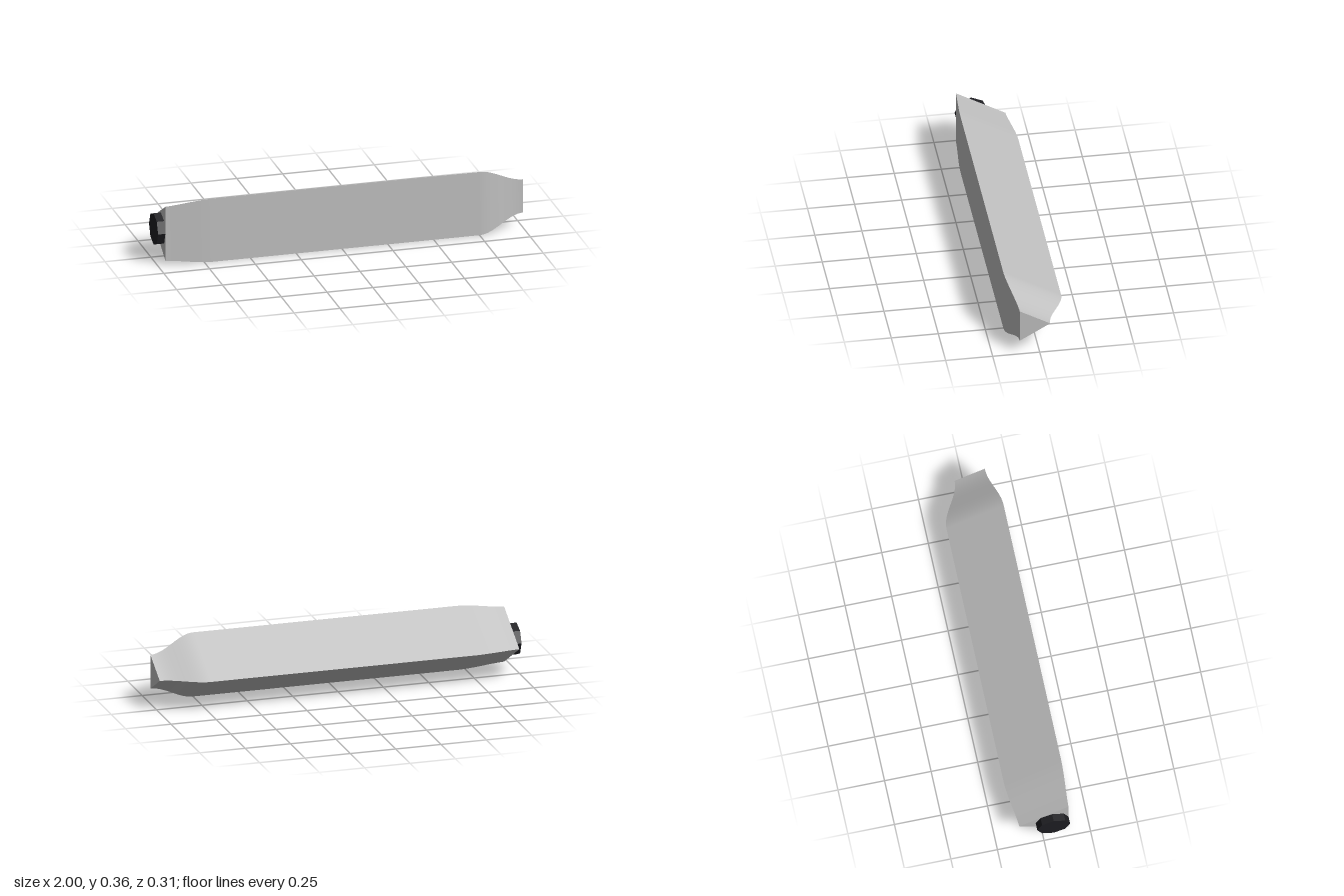
import * as THREE from 'three';

const CY = 0.18, CZ = 0.052; // long axis of the tube

// Circumradius of the triangular section along x
function radiusAt(x) {
  const { smoothstep, lerp } = THREE.MathUtils;
  return x < 0
    ? lerp(0.174, 0.205, smoothstep(x, -1.0, -0.7))
    : lerp(0.205, 0.108, smoothstep(x, 0.75, 1));
}

// Section corners: top front, bottom front, back
function corner(x, i) {
  const a = Math.PI / 3 - (i % 3) * Math.PI * 2 / 3;
  const r = radiusAt(x);
  return [x, CY + Math.sin(a) * r, CZ + Math.cos(a) * r];
}

function makeGeometry(positions, index) {
  const g = new THREE.BufferGeometry();
  g.setAttribute('position', new THREE.Float32BufferAttribute(positions, 3));
  g.setIndex(index);
  g.computeVertexNormals();
  return g;
}

export function createModel() {
  const model = new THREE.Group();
  const shell = new THREE.MeshStandardMaterial({ color: 0xc0c0c0 });
  shell.name = 'light grey';
  const dark = new THREE.MeshStandardMaterial({ color: 0x1e1e22 });
  dark.name = 'near black';

  const add = (name, geometry, material, parent) => {
    const mesh = new THREE.Mesh(geometry, material);
    mesh.name = name;
    parent.add(mesh);
    return mesh;
  };

  const body = new THREE.Group();
  body.name = 'body';
  model.add(body);

  // Stations along the tube, dense only where it tapers
  const xs = [];
  for (let i = 0; i <= 12; i++) xs.push(-0.96 + 0.26 * i / 12);
  for (let i = 0; i <= 20; i++) xs.push(0.75 + 0.25 * i / 20);

  // Three long sides, smooth along their length with sharp edges between
  ['frontSide', 'lowerBackSide', 'upperBackSide'].forEach((name, s) => {
    const pos = [], index = [];
    xs.forEach((x, j) => {
      pos.push(...corner(x, s), ...corner(x, s + 1));
      if (j === 0) return;
      const a = (j - 1) * 2;
      index.push(a, a + 1, a + 3, a, a + 3, a + 2);
    });
    add(name, makeGeometry(pos, index), shell, body);
  });

  // Flat triangular ends
  const end = (x) => [0, 1, 2].flatMap((i) => corner(x, i));
  add('narrowEnd', makeGeometry(end(1), [0, 1, 2]), shell, body);
  add('wideEnd', makeGeometry(end(-0.96), [0, 2, 1]), shell, body);

  // Faceted plug on the wide end
  const plugGeometry = new THREE.CylinderGeometry(0.088, 0.088, 0.05, 8);
  plugGeometry.rotateZ(Math.PI / 2);
  const flat = plugGeometry.toNonIndexed();
  flat.computeVertexNormals();
  add('endPlug', flat, dark, model).position.set(-0.975, CY, CZ);

  return model;
}
